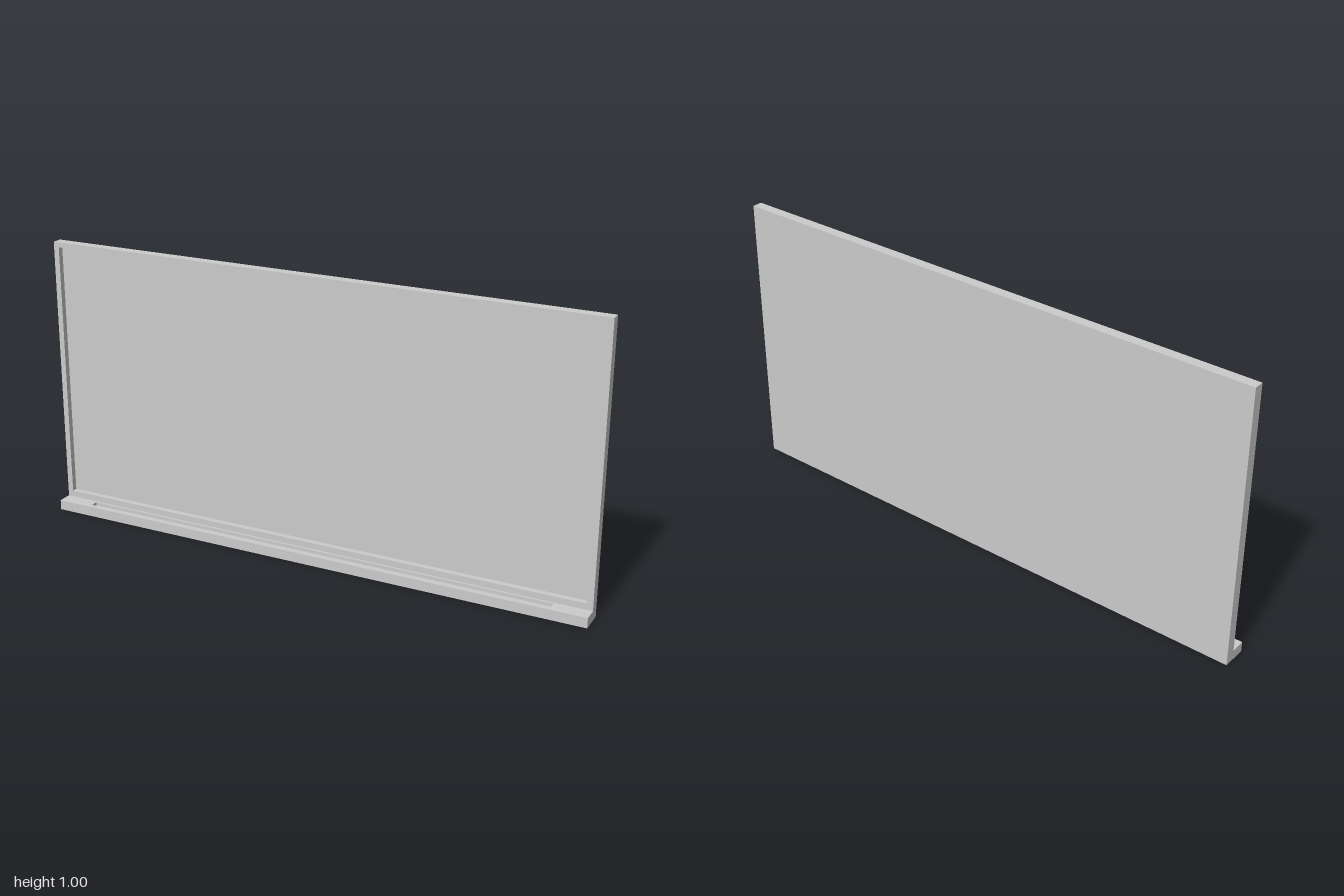
import * as THREE from 'three';

const material = new THREE.MeshStandardMaterial({ color: 0xcccccc });

function addMesh(group, name, geometry, x = 0, y = 0, z = 0) {
  const mesh = new THREE.Mesh(geometry, material);
  mesh.name = name;
  mesh.position.set(x, y, z);
  group.add(mesh);
  return mesh;
}

function rectangle(x0, y0, x1, y1, Type = THREE.Shape) {
  return new Type([[x0, y0], [x1, y0], [x1, y1], [x0, y1]].map(p => new THREE.Vector2(...p)));
}

// Rectangular slab with a rectangular opening, extruded along +z
function openSlab(outer, inner, depth) {
  const shape = rectangle(...outer);
  shape.holes.push(rectangle(...inner, THREE.Path));
  return new THREE.ExtrudeGeometry(shape, { depth, bevelEnabled: false });
}

export function createModel() {
  const group = new THREE.Group();
  group.name = 'wallBoard';

  const height = 0.995, back = -0.044, face = -0.008, front = 0.044;
  const recess = 0.02, trayHeight = 0.036, grooveDepth = 0.012;
  const panelDepth = face - recess - back;

  // Writing panel, set back inside the frame
  addMesh(group, 'writingPanel', new THREE.BoxGeometry(2, height, panelDepth),
    0, height / 2, back + panelDepth / 2);

  // Raised border around the panel
  addMesh(group, 'frame', openSlab([-1, 0, 1, height], [-0.98, 0.058, 0.98, 0.977], recess),
    0, 0, face - recess);

  // Ledge along the bottom edge
  const baseHeight = trayHeight - grooveDepth;
  addMesh(group, 'trayBase', new THREE.BoxGeometry(2, baseHeight, front - face),
    0, baseHeight / 2, (front + face) / 2);

  // Top of the ledge with a long pen groove
  const rim = openSlab([-1, -front, 1, -face], [-0.873, -0.026, 0.873, 0], grooveDepth);
  rim.rotateX(-Math.PI / 2);
  addMesh(group, 'trayRim', rim, 0, baseHeight, 0);

  return group;
}
